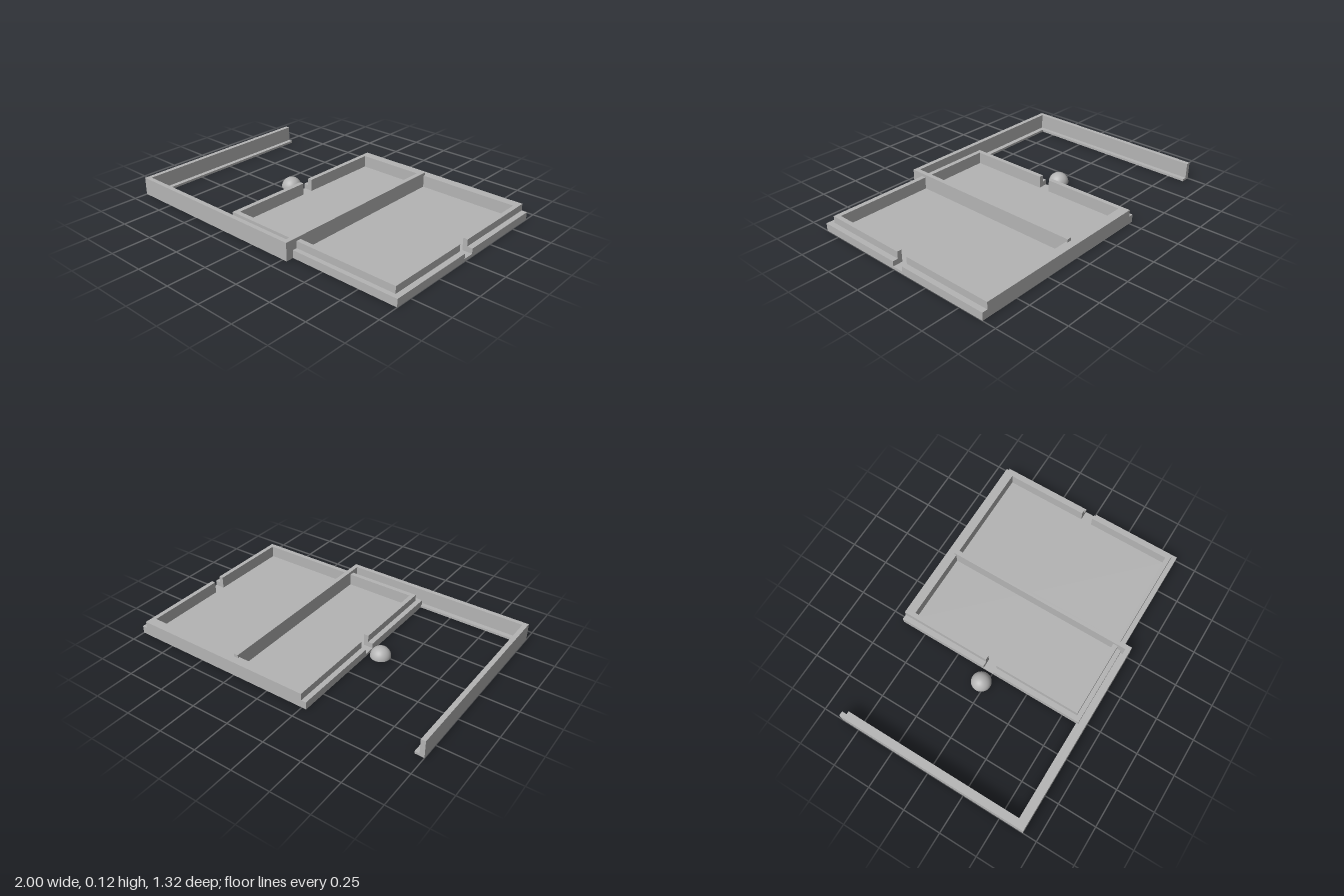
import * as THREE from 'three';

const grey = new THREE.MeshStandardMaterial({ color: 0xb4b4b4 });
grey.name = 'plain grey';
const greyShell = new THREE.MeshStandardMaterial({ color: 0xb4b4b4, side: THREE.DoubleSide });
greyShell.name = 'plain grey shell';

// Extrudes an outline of [x, z] points upward from y0 to y1.
function slab(name, points, y0, y1) {
  const shape = new THREE.Shape(points.map(([x, z]) => new THREE.Vector2(x, -z)));
  const geo = new THREE.ExtrudeGeometry(shape, { depth: y1 - y0, bevelEnabled: false });
  geo.rotateX(-Math.PI / 2).translate(0, y0, 0);
  const mesh = new THREE.Mesh(geo, grey);
  mesh.name = name;
  return mesh;
}

// U-shaped wall: arms run from zOpen to the closed end at zOut, inner face at zIn.
function uWall(name, [xl, xr], [il, ir], zOpen, zOut, zIn, y0, y1) {
  return slab(name, [
    [xl, zOpen], [xl, zOut], [xr, zOut], [xr, zOpen],
    [ir, zOpen], [ir, zIn], [il, zIn], [il, zOpen],
  ], y0, y1);
}

export function createModel() {
  const model = new THREE.Group();
  model.name = 'boxAndSlidingLid';

  const floor = 0.017, step = 0.05, rim = 0.095, lidTop = 0.115;
  const outer = [-0.28, 1], lip = [-0.247, 0.965], inner = [-0.217, 0.936];
  const back = -0.663, backIn = -0.603, front = 0.61, frontLip = 0.58, frontIn = 0.549;
  const notchBack = -0.064, notchFront = 0.01;

  // Tray: floor, then stepped walls split by the finger notch on each side
  const tray = new THREE.Group();
  tray.name = 'tray';
  tray.add(
    slab('trayFloor', [[outer[0], back], [outer[0], front], [outer[1], front], [outer[1], back]], 0, floor),
    uWall('frontLowerWall', outer, inner, notchFront, front, frontIn, floor, step),
    uWall('frontLip', lip, inner, notchFront, frontLip, frontIn, step, rim),
    uWall('backLowerWall', outer, inner, notchBack, back, backIn, floor, step),
    uWall('backLip', lip, inner, notchBack, back, backIn, step, rim),
  );
  model.add(tray);

  // Lid frame: tall three-sided wall with a thin inner ledge at its foot
  const lid = new THREE.Group();
  lid.name = 'lidFrame';
  lid.add(
    uWall('lidWall', [-1, 0.28], [-0.97, 0.25], -0.615, 0.66, 0.63, 0, lidTop),
    uWall('lidLedge', [-0.97, 0.25], [-0.94, 0.22], -0.615, 0.63, 0.598, 0, 0.015),
  );
  model.add(lid);

  // Domed thumb piece beside the tray
  const dome = new THREE.Mesh(
    new THREE.SphereGeometry(0.064, 48, 16, 0, Math.PI * 2, 0, Math.PI / 2), greyShell);
  dome.name = 'thumbDome';
  dome.position.set(-0.362, 0.018, -0.028);
  model.add(dome);

  return model;
}
